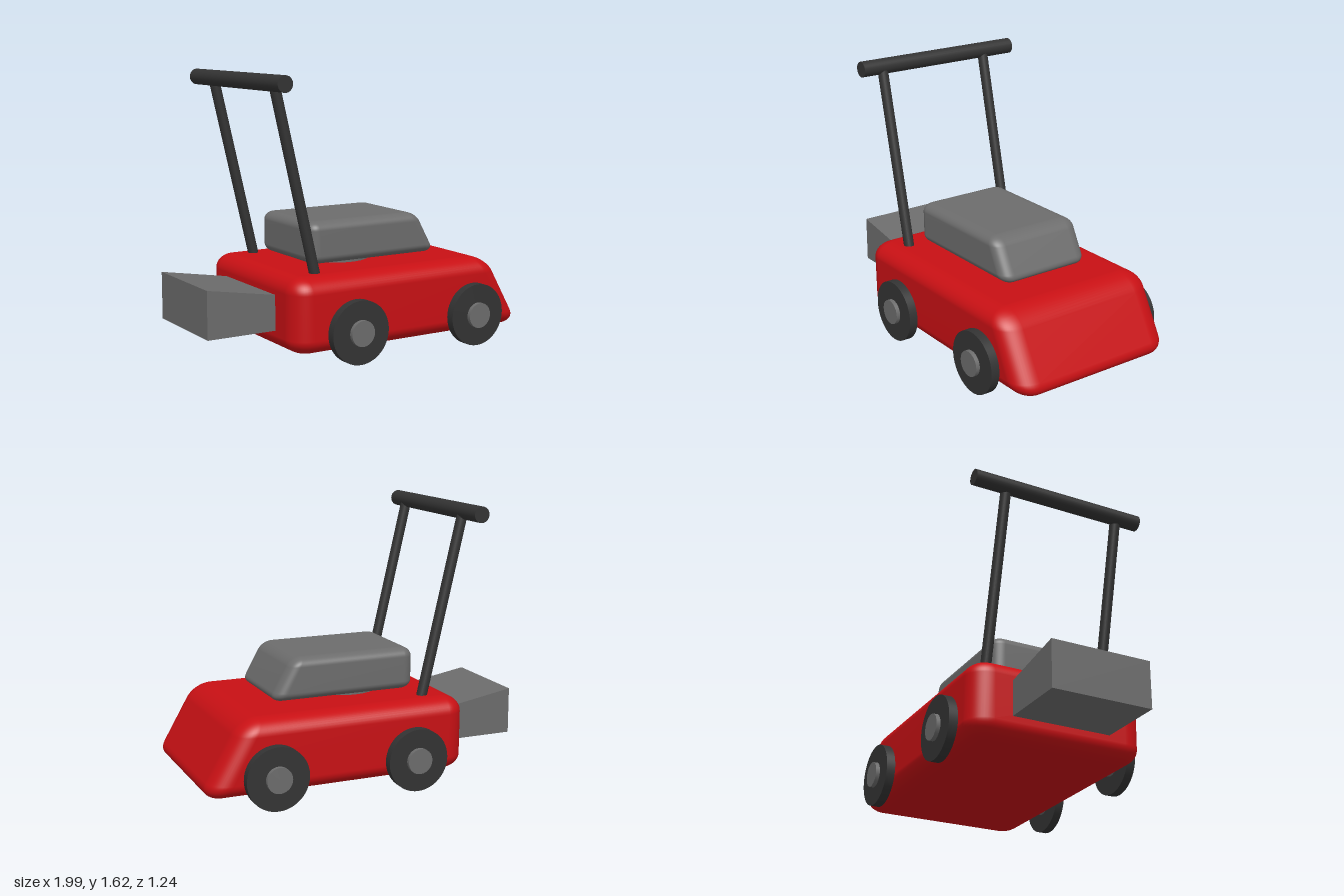
import * as THREE from 'three';
import { RoundedBoxGeometry } from 'three/addons/geometries/RoundedBoxGeometry.js';
import { mergeVertices } from 'three/addons/utils/BufferGeometryUtils.js';

const paint = (color, opts = {}) => new THREE.MeshStandardMaterial({ color, ...opts });
const red = paint(0xc81014);
const grey = paint(0x6c6c6c);
const black = paint(0x333333);

function part(name, geometry, material, x = 0, y = 0, z = 0) {
  const mesh = new THREE.Mesh(geometry, material);
  mesh.name = name;
  mesh.position.set(x, y, z);
  return mesh;
}

// Soft box between x0 and x1 whose front end leans back by `lean` at the top
function slopedBox(x0, x1, y0, y1, depth, radius, squash, lean) {
  const w = x1 - x0, h = y1 - y0;
  let g = new RoundedBoxGeometry(w, h / squash, depth, 6, radius);
  g.scale(1, squash, 1);
  g.translate((x0 + x1) / 2, (y0 + y1) / 2, 0);
  g.deleteAttribute('normal');
  g.deleteAttribute('uv');
  g = mergeVertices(g, 1e-4);
  const p = g.attributes.position;
  for (let i = 0; i < p.count; i++) {
    const along = (p.getX(i) - x0) / w, up = (p.getY(i) - y0) / h;
    p.setX(i, p.getX(i) - lean * along * up);
  }
  g.computeVertexNormals();
  return g;
}

// Cylinder between two points
function rod(name, a, b, radius, material) {
  const dir = new THREE.Vector3().subVectors(b, a);
  const mesh = part(name, new THREE.CylinderGeometry(radius, radius, dir.length(), 24), material);
  mesh.position.copy(a).add(b).multiplyScalar(0.5);
  mesh.quaternion.setFromUnitVectors(new THREE.Vector3(0, 1, 0), dir.normalize());
  return mesh;
}

export function createModel() {
  const model = new THREE.Group();
  model.name = 'lawnMower';
  const V = (x, y, z) => new THREE.Vector3(x, y, z);

  // Deck and engine
  model.add(part('deck', slopedBox(-0.58, 1.035, 0.065, 0.505, 1.07, 0.13, 0.7, 0.255), red));
  model.add(part('engineCover', slopedBox(-0.35, 0.545, 0.525, 0.775, 0.6, 0.075, 0.7, 0.14), grey));
  model.add(part('engineNeck', new THREE.CylinderGeometry(0.208, 0.208, 0.12, 40), grey, -0.01, 0.5, 0));

  // Grass box, taller towards the rear
  const profile = new THREE.Shape([
    new THREE.Vector2(-1, 0.185), new THREE.Vector2(-0.5, 0.185),
    new THREE.Vector2(-0.5, 0.377), new THREE.Vector2(-1, 0.462),
  ]);
  const box = new THREE.ExtrudeGeometry(profile, { depth: 0.6, bevelEnabled: false });
  model.add(part('grassBox', box, grey, 0, 0, -0.3));

  // Wheels with hubs: [x, side]
  for (const [x, side] of [[-0.197, 1], [-0.235, -1], [0.62, 1], [0.62, -1]]) {
    const wheel = new THREE.Group();
    wheel.name = x > 0 ? 'frontWheel' : 'rearWheel';
    wheel.add(rod('tire', V(x, 0.185, side * 0.544), V(x, 0.185, side * 0.596), 0.184, black));
    wheel.add(rod('hub', V(x, 0.185, side * 0.48), V(x, 0.185, side * 0.62), 0.075, grey));
    wheel.children[0].geometry = new THREE.CylinderGeometry(0.184, 0.184, 0.052, 48);
    model.add(wheel);
  }

  // Handle
  const handle = new THREE.Group();
  handle.name = 'handle';
  for (const z of [0.37, -0.363]) {
    handle.add(rod('handleLeg', V(-0.342, 0.4, z), V(-0.618, 1.575, z), 0.031, black));
  }
  handle.add(rod('handleBar', V(-0.625, 1.573, -0.573), V(-0.625, 1.573, 0.511), 0.047, black));
  model.add(handle);

  return model;
}
